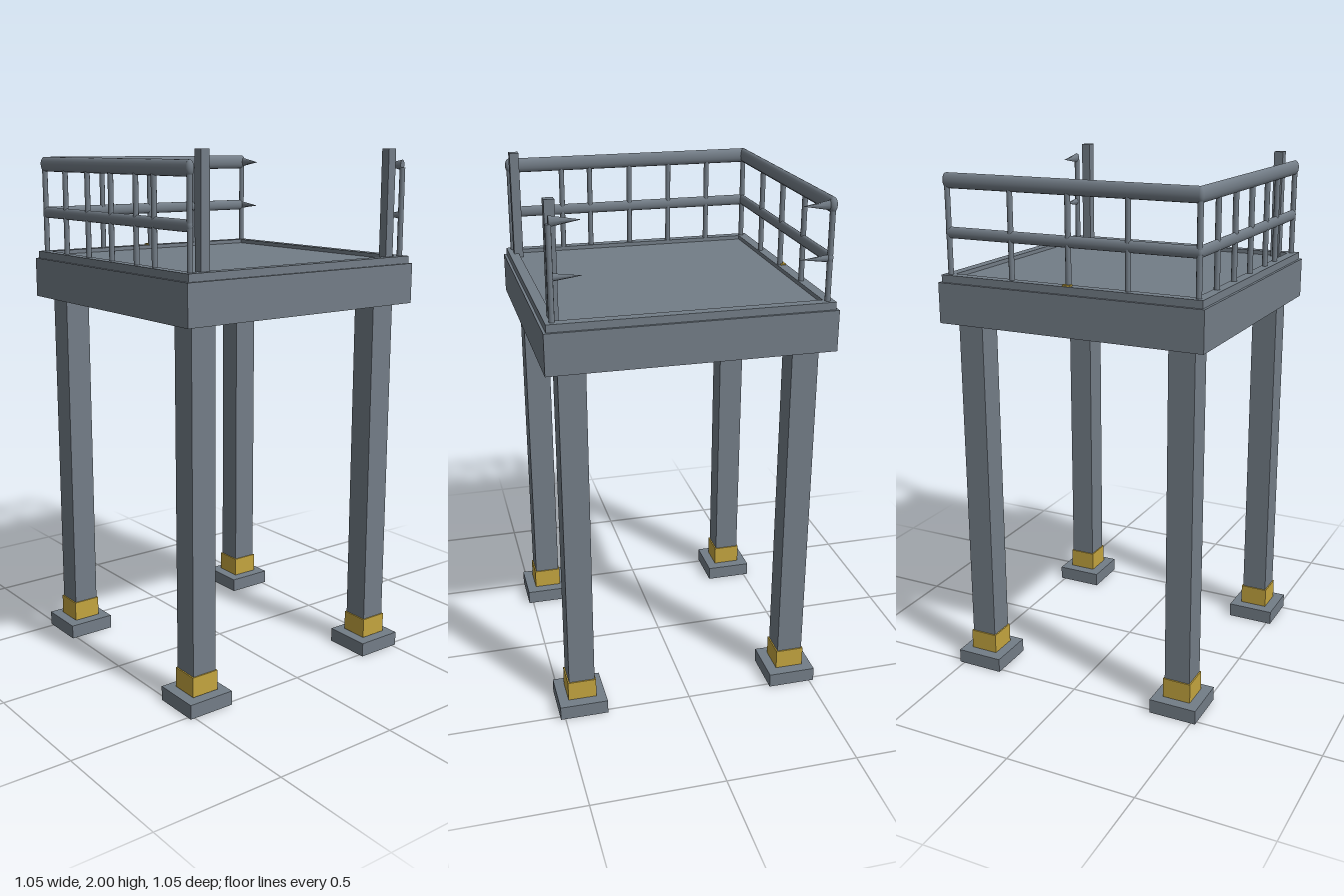
import * as THREE from 'three';

export function createModel() {
  const model = new THREE.Group();
  const steel = new THREE.MeshStandardMaterial({ color: 0x737d87 });
  steel.name = 'steel grey';
  const yellow = new THREE.MeshStandardMaterial({ color: 0xc4a53f });
  yellow.name = 'safety yellow';

  const add = (name, geometry, material, x, y, z) => {
    const mesh = new THREE.Mesh(geometry, material);
    mesh.name = name;
    mesh.position.set(x, y, z);
    model.add(mesh);
    return mesh;
  };
  // Box given by its size and the height of its underside
  const box = (name, w, h, d, x, y, z, material = steel) =>
    add(name, new THREE.BoxGeometry(w, h, d), material, x, y + h / 2, z);

  // Square ring, open in the middle
  const ring = (name, outer, inner, bottom, top) => {
    const square = (path, r) => path.moveTo(-r, -r).lineTo(r, -r).lineTo(r, r).lineTo(-r, r).closePath();
    const shape = square(new THREE.Shape(), outer);
    shape.holes.push(square(new THREE.Path(), inner));
    const geometry = new THREE.ExtrudeGeometry(shape, { depth: top - bottom, bevelEnabled: false });
    geometry.rotateX(-Math.PI / 2);
    add(name, geometry, steel, 0, bottom, 0);
  };

  // Legs with footings and painted collars
  for (const sx of [-1, 1]) {
    for (const sz of [-1, 1]) {
      const x = sx * 0.425, z = sz * 0.425;
      box('footing', 0.186, 0.055, 0.186, x, 0, z);
      box('column', 0.1, 1.515, 0.1, x, 0.05, z);
      box('collar', 0.11, 0.077, 0.11, x, 0.058, z, yellow);
    }
  }

  // Platform: perimeter beams, floor slab and raised curb
  ring('perimeterBeam', 0.525, 0.455, 1.42, 1.572);
  box('floor', 1.02, 0.025, 1.02, 0, 1.56, 0);
  ring('curb', 0.515, 0.477, 1.572, 1.6);
  box('curbMarker', 0.03, 0.008, 0.02, 0, 1.597, -0.5, yellow);

  // Railing along the back and the right side, oval in section
  const E = 0.49;
  for (const [name, y, half] of [['topRail', 1.939, 0.028], ['midRail', 1.753, 0.021]]) {
    const bar = new THREE.CylinderGeometry(half, half, 2 * E, 16);
    bar.rotateZ(Math.PI / 2);
    bar.scale(1, 1, 0.55);
    add(name + 'Back', bar, steel, 0, y, -E);
    add(name + 'Side', bar, steel, -E, y, 0).rotation.y = Math.PI / 2;
    // Rounded rail ends
    const knob = new THREE.SphereGeometry(half, 16, 10);
    knob.scale(0.55, 1, 0.55);
    for (const [x, z] of [[-E, -E], [E, -E], [-E, E]]) add(name + 'End', knob, steel, x, y, z);
    // Tapered stubs where the left side is open
    for (const s of [-1, 1]) {
      const stub = new THREE.ConeGeometry(half * 0.7, 0.11, 8);
      stub.rotateX(-s * Math.PI / 2);
      stub.scale(0.55, 1, 1);
      add(name + 'Stub', stub, steel, E, y, s * (E - 0.055));
    }
  }

  // Slim uprights
  const uprightGeometry = new THREE.CylinderGeometry(0.0105, 0.0105, 0.34, 10);
  const upright = (x, z) => add('upright', uprightGeometry, steel, x, 1.76, z);
  for (const x of [-E, -0.23, 0, 0.23, E]) upright(x, -E);
  for (const z of [-0.33, -0.165, 0, 0.165, 0.28, E]) upright(-E, z);
  upright(E, E);

  // Tall square posts at the open front
  for (const s of [-1, 1]) box('gatePost', 0.036, 0.42, 0.036, s * 0.43, 1.58, 0.477);

  return model;
}
